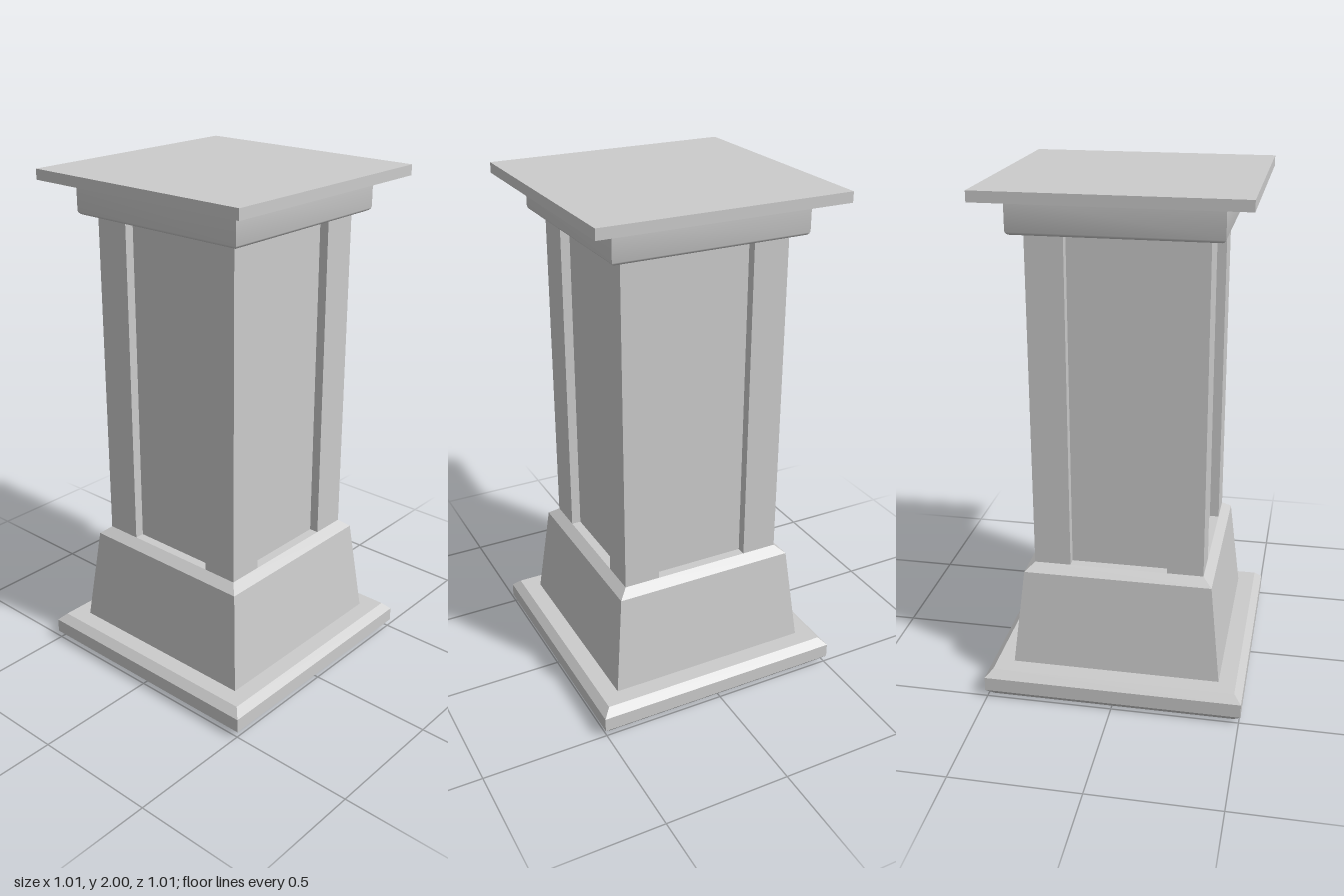
import * as THREE from 'three';
import { toCreasedNormals } from 'three/addons/utils/BufferGeometryUtils.js';

const material = new THREE.MeshStandardMaterial({ color: 0xcccccc });

function part(name, geometry) {
  const mesh = new THREE.Mesh(geometry, material);
  mesh.name = name;
  return mesh;
}

// Square solid swept from a profile of [half width, height], bottom to top
function squareTurned(name, profile) {
  const closed = [[0, profile[0][1]], ...profile, [0, profile.at(-1)[1]]];
  const points = closed.map(([half, y]) => new THREE.Vector2(half * Math.SQRT2, y));
  return part(name, toCreasedNormals(new THREE.LatheGeometry(points, 4, Math.PI / 4), 0.6));
}

// Shaft with a sunken panel between the corner posts on each side
function shaft(half, panelHalf, depth, bottom, top) {
  const inner = half - depth;
  const side = [[half, -half], [half, -panelHalf], [inner, -panelHalf], [inner, panelHalf], [half, panelHalf]];
  const outline = [];
  for (let i = 0; i < 4; i++) {
    for (const [x, y] of side) {
      outline.push(new THREE.Vector2(x, y).rotateAround(new THREE.Vector2(), i * Math.PI / 2));
    }
  }
  const geometry = new THREE.ExtrudeGeometry(new THREE.Shape(outline), { depth: top - bottom, bevelEnabled: false });
  geometry.rotateX(-Math.PI / 2).translate(0, bottom, 0);
  return part('shaft', geometry);
}

export function createModel() {
  const group = new THREE.Group();
  group.name = 'pedestal';

  // Bevelled foot slab and tapered base
  group.add(squareTurned('footSlab', [[0.478, 0], [0.507, 0.03], [0.507, 0.086], [0.478, 0.115]]));
  group.add(squareTurned('taperedBase', [[0.41, 0.115], [0.368, 0.5], [0.332, 0.53]]));

  group.add(shaft(0.332, 0.19, 0.037, 0.53, 1.83));

  // Capital with a rounded lower edge
  const radius = 0.018;
  const capital = [];
  for (let i = 0; i <= 5; i++) {
    const a = (i / 5) * Math.PI / 2;
    capital.push([0.385 - radius + radius * Math.sin(a), 1.83 + radius - radius * Math.cos(a)]);
  }
  capital.push([0.385, 1.96]);
  group.add(squareTurned('capital', capital));

  // Flat top slab
  const slab = part('topSlab', new THREE.BoxGeometry(0.97, 0.04, 0.97));
  slab.position.y = 1.98;
  group.add(slab);

  return group;
}
